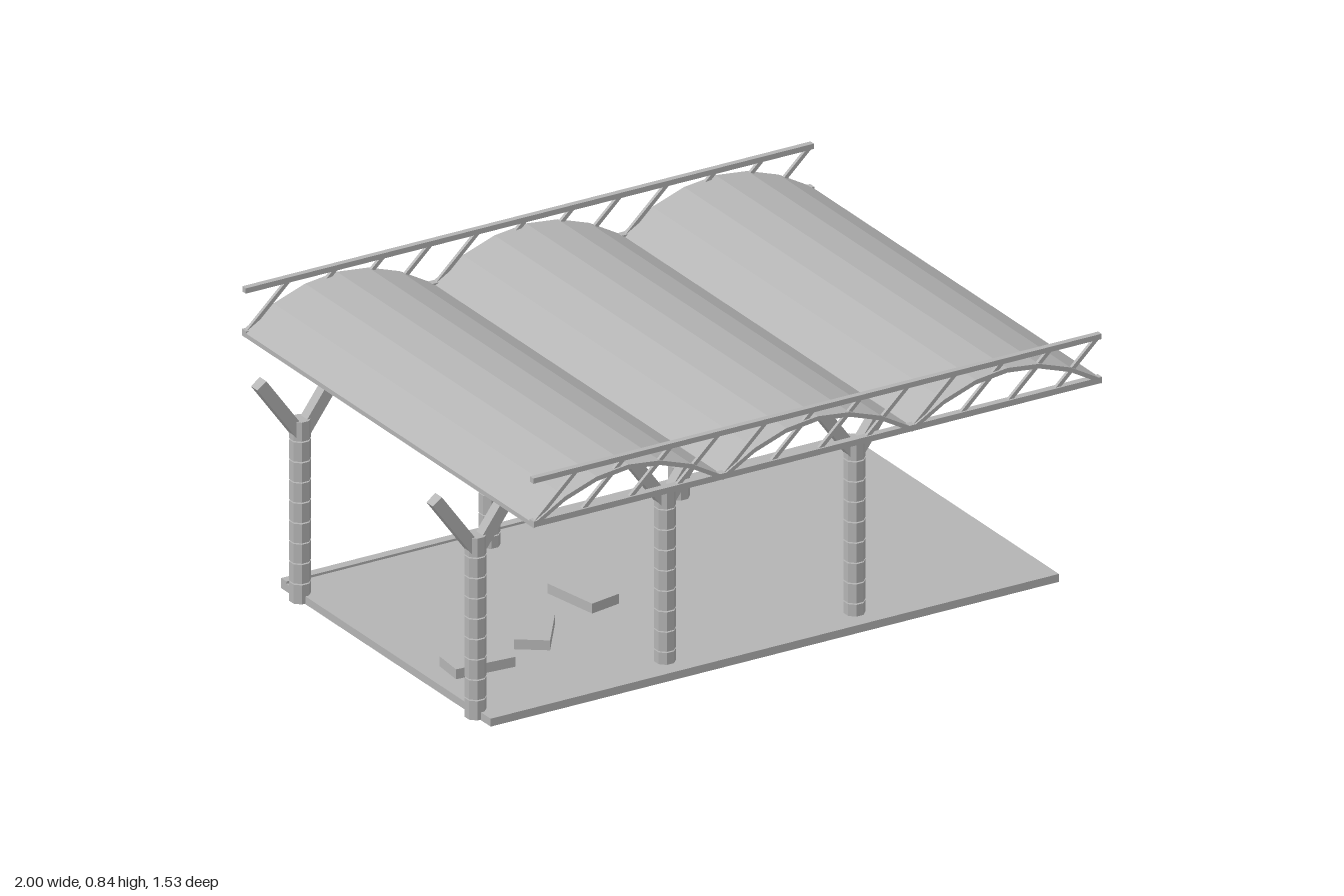
import * as THREE from 'three';

export function createModel() {
  const model = new THREE.Group();
  const grey = new THREE.MeshStandardMaterial({ color: 0xb4b4b4, flatShading: true });
  grey.name = 'concrete grey';

  const add = (name, geometry, x = 0, y = 0, z = 0, parent = model) => {
    const mesh = new THREE.Mesh(geometry, grey);
    mesh.name = name;
    mesh.position.set(x, y, z);
    parent.add(mesh);
    return mesh;
  };
  const box = (name, w, h, d, x, y, z, parent) =>
    add(name, new THREE.BoxGeometry(w, h, d), x, y, z, parent);
  // Straight bar between two points in a plane of constant z
  const bar = (name, x0, y0, x1, y1, z, width, depth, parent) => {
    const length = Math.hypot(x1 - x0, y1 - y0);
    const mesh = box(name, width, length, depth, (x0 + x1) / 2, (y0 + y1) / 2, z, parent);
    mesh.rotation.z = -Math.atan2(x1 - x0, y1 - y0);
    return mesh;
  };

  const left = -0.85, right = 1, span = (right - left) / 3;
  const middle = (left + right) / 2;

  // Floor slab with a low kerb along the back
  box('floorSlab', 1.85, 0.024, 1.098, middle, 0.012, -0.01);
  box('backKerb', 1.85, 0.008, 0.028, middle, 0.027, -0.545);

  // Loose blocks on the floor: x, z, turn
  [[-0.695, 0.22, -0.08], [-0.453, 0.13, 0.94], [-0.205, -0.015, 1.75]].forEach(([x, z, turn]) => {
    box('floorBlock', 0.185, 0.03, 0.1, x, 0.039, z).rotation.y = turn;
  });

  // Segmented octagonal columns with forked arms
  const segments = 9, step = 0.555 / segments;
  const drum = new THREE.CylinderGeometry(0.0305, 0.0305, step - 0.004, 8);
  drum.rotateY(Math.PI / 8);
  for (const z of [0.46, -0.46]) {
    for (let i = 0; i < 3; i++) {
      const column = new THREE.Group();
      column.name = 'column';
      column.position.set(left + i * span, 0, z);
      model.add(column);
      for (let s = 0; s < segments; s++) {
        add('columnDrum', drum, 0, (s + 0.5) * step, 0, column);
      }
      for (const side of [-1, 1]) {
        bar('forkArm', 0, 0.505, side * 0.135, 0.69, 0, 0.036, 0.034, column);
      }
    }
  }

  // Roof of three faceted vaults, one closed profile
  const top = [];
  for (let i = 0; i <= 18; i++) {
    const t = (i % 6) / 3 - 1;
    top.push(new THREE.Vector2(left + (i * span) / 6, 0.702 + 0.106 * (1 - t * t)));
  }
  const under = top.map(p => new THREE.Vector2(p.x, p.y - 0.014)).reverse();
  const roof = new THREE.ExtrudeGeometry(new THREE.Shape([...top, ...under]),
    { depth: 1.53, bevelEnabled: false });
  add('vaultedRoof', roof, 0, 0, -0.765);

  // Edge trusses, front and back
  const bays = 12, bay = (right - left) / bays;
  for (const z of [0.754, -0.754]) {
    const truss = new THREE.Group();
    truss.name = 'edgeTruss';
    model.add(truss);
    box('topChord', 1.85, 0.016, 0.018, middle, 0.83, z, truss);
    box('bottomChord', 1.85, 0.018, 0.022, middle, 0.699, z, truss);
    for (let i = 0; i < bays; i++) {
      const x = left + i * bay;
      bar('trussDiagonal', x + 0.008, 0.7, x + bay - 0.008, 0.828, z, 0.012, 0.01, truss);
    }
  }
  return model;
}
